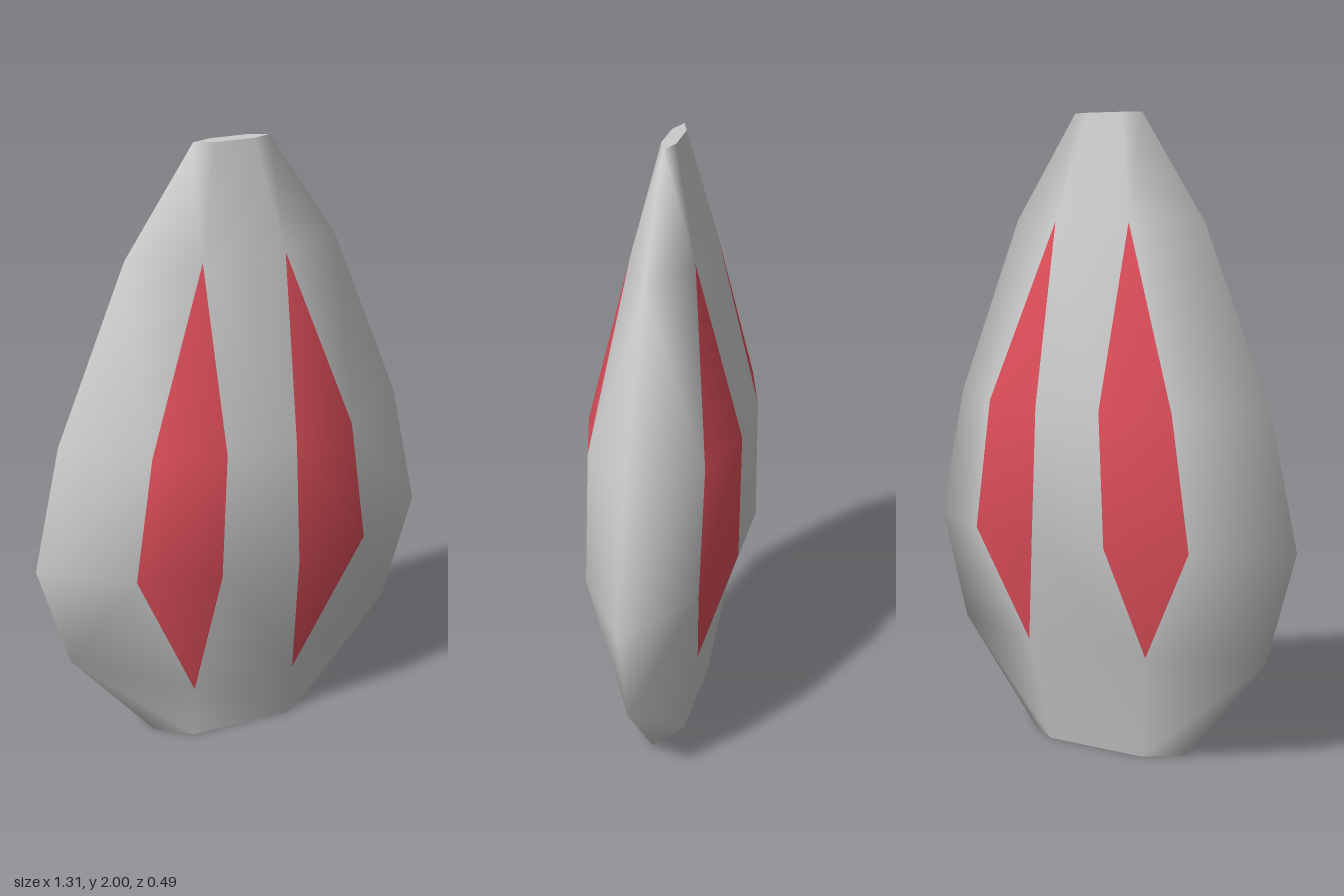
import * as THREE from 'three';

// Rings from base to tip: [edge y, edge x], then front and back [y, outer x, outer z, inner x, inner z]
const RINGS = [
  { edge: [0, 0.285], front: [0, 0.17, 0.08, 0.17, 0.08], back: [0, 0.17, -0.08, 0.17, -0.08] },
  { edge: [0.34, 0.56], front: [0.2, 0.175, 0.105, 0.175, 0.105], back: [0.34, 0.215, -0.135, 0.215, -0.135] },
  { edge: [0.695, 0.657], front: [0.695, 0.387, 0.178, 0.13, 0.243], back: [0.695, 0.387, -0.178, 0.13, -0.243] },
  { edge: [1.11, 0.565], front: [1.11, 0.328, 0.18, 0.113, 0.243], back: [1.11, 0.328, -0.18, 0.113, -0.243] },
  { edge: [1.67, 0.338], front: [1.67, 0.131, 0.098, 0.131, 0.098], back: [1.67, 0.131, -0.098, 0.131, -0.098] },
  { edge: [2, 0.12], front: [2, 0.06, 0.022, 0.06, 0.022], back: [2, 0.06, -0.022, 0.06, -0.022] },
];

// Ten points around one ring: edge, front outer/inner, mirrored, then the back
function ringPoints({ edge, front: f, back: b }) {
  return [
    [edge[1], edge[0], 0], [f[1], f[0], f[2]], [f[3], f[0], f[4]],
    [-f[3], f[0], f[4]], [-f[1], f[0], f[2]], [-edge[1], edge[0], 0],
    [-b[1], b[0], b[2]], [-b[3], b[0], b[4]], [b[3], b[0], b[4]], [b[1], b[0], b[2]],
  ].map((p) => new THREE.Vector3(...p));
}

export function createModel() {
  const group = new THREE.Group();
  group.name = 'facetedPod';

  // Shared points, so that shading runs smoothly across body and panels
  const points = [];
  const lookup = new Map();
  const addPoint = (p) => {
    const key = p.toArray().join();
    if (!lookup.has(key)) {
      lookup.set(key, points.length);
      points.push(p);
    }
    return lookup.get(key);
  };
  const loops = RINGS.map((ring) => ringPoints(ring).map(addPoint));

  const bodyFaces = [];
  const panelFaces = { 1: [], 3: [], 6: [], 8: [] };
  const addTriangle = (faces, a, b, c) => {
    if (a !== b && b !== c && c !== a) faces.push(a, b, c);
  };

  // Skin between rings, splitting each quad along its outward-bulging diagonal
  for (let j = 0; j < loops.length - 1; j++) {
    for (let i = 0; i < 10; i++) {
      const k = (i + 1) % 10;
      const [a, b, c, d] = [loops[j][i], loops[j][k], loops[j + 1][k], loops[j + 1][i]];
      const faces = panelFaces[i] || bodyFaces;
      const from = (q) => points[q].clone().sub(points[a]);
      const bulge = from(d).cross(from(c)).dot(from(b));
      if (bulge <= 0) {
        addTriangle(faces, a, d, c);
        addTriangle(faces, a, c, b);
      } else {
        addTriangle(faces, a, d, b);
        addTriangle(faces, d, c, b);
      }
    }
  }

  // Normals of the whole skin, reused by every part
  const skin = new THREE.BufferGeometry().setFromPoints(points);
  skin.setIndex([...bodyFaces, ...Object.values(panelFaces).flat()]);
  skin.computeVertexNormals();

  const grey = new THREE.MeshStandardMaterial({ color: 0xcccccc });
  const red = new THREE.MeshStandardMaterial({ color: 0xe04f5b });
  const addPart = (name, faces, material) => {
    const geometry = new THREE.BufferGeometry();
    geometry.setAttribute('position', skin.getAttribute('position'));
    geometry.setAttribute('normal', skin.getAttribute('normal'));
    geometry.setIndex(faces);
    const mesh = new THREE.Mesh(geometry, material);
    mesh.name = name;
    group.add(mesh);
  };
  addPart('body', bodyFaces, grey);
  addPart('frontLeftPanel', panelFaces[1], red);
  addPart('frontRightPanel', panelFaces[3], red);
  addPart('backRightPanel', panelFaces[6], red);
  addPart('backLeftPanel', panelFaces[8], red);

  // Flat hexagonal ends
  const addCap = (name, ring, y, turn) => {
    const outline = ringPoints(ring).filter((p, i) => ![2, 3, 7, 8].includes(i));
    const shape = new THREE.Shape(outline.map((p) => new THREE.Vector2(p.x, p.z)));
    const cap = new THREE.Mesh(new THREE.ShapeGeometry(shape), grey);
    cap.rotation.x = turn;
    cap.position.y = y;
    cap.name = name;
    group.add(cap);
  };
  addCap('baseCap', RINGS[0], 0, Math.PI / 2);
  addCap('tipCap', RINGS[5], 2, -Math.PI / 2);

  return group;
}
